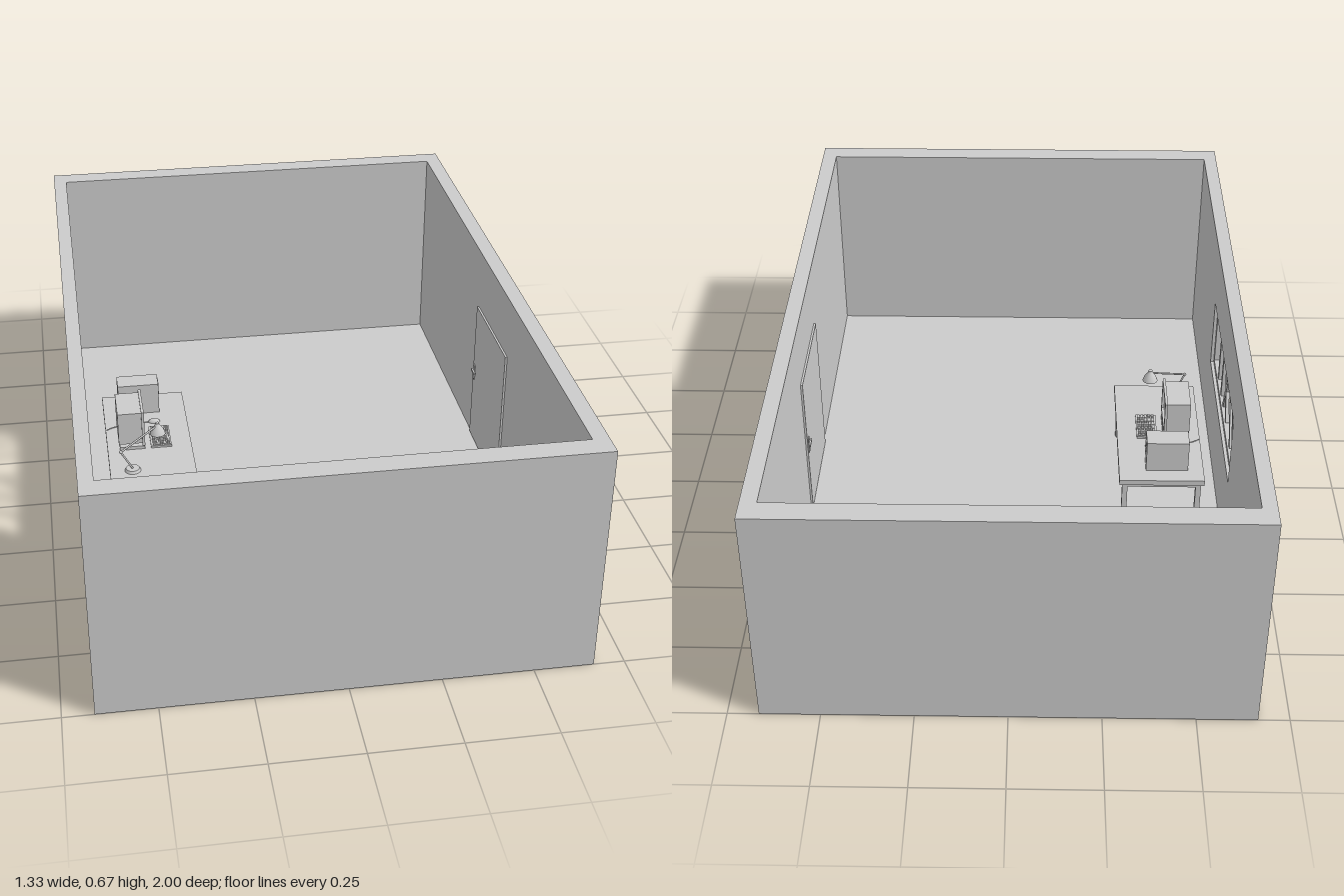
import * as THREE from 'three';

const mat = new THREE.MeshStandardMaterial({ color: 0xcccccc, side: THREE.DoubleSide });

function add(parent, name, geometry, x = 0, y = 0, z = 0) {
  const mesh = new THREE.Mesh(geometry, mat);
  mesh.name = name;
  mesh.position.set(x, y, z);
  parent.add(mesh);
  return mesh;
}

// Box given by its limits on each axis
function box(parent, name, x0, x1, y0, y1, z0, z1) {
  return add(parent, name, new THREE.BoxGeometry(x1 - x0, y1 - y0, z1 - z0),
    (x0 + x1) / 2, (y0 + y1) / 2, (z0 + z1) / 2);
}

function group(parent, name) {
  const g = new THREE.Group();
  g.name = name;
  parent.add(g);
  return g;
}

// Upright panel along z with one rectangular opening; outer face at x1
function panelWithOpening(parent, name, x0, x1, outer, hole) {
  const rect = (T, [z0, z1, y0, y1]) => {
    const s = new T();
    s.moveTo(z0, y0).lineTo(z1, y0).lineTo(z1, y1).lineTo(z0, y1).closePath();
    return s;
  };
  const shape = rect(THREE.Shape, outer);
  shape.holes.push(rect(THREE.Path, hole));
  const geo = new THREE.ExtrudeGeometry(shape, { depth: x1 - x0, bevelEnabled: false });
  geo.rotateY(-Math.PI / 2);
  return add(parent, name, geo, x1, 0, 0);
}

// Round rod through a few points
function rod(parent, name, points, radius) {
  const path = new THREE.CurvePath();
  const v = points.map(p => new THREE.Vector3(...p));
  for (let i = 1; i < v.length; i++) path.add(new THREE.LineCurve3(v[i - 1], v[i]));
  return add(parent, name, new THREE.TubeGeometry(path, 16, radius, 8), 0, 0, 0);
}

function buildRoom(root) {
  const room = group(root, 'room');
  box(room, 'floor', -0.625, 0.62, 0, 0.033, -0.935, 0.935);
  box(room, 'frontWall', -0.625, 0.62, 0, 0.67, 0.935, 1);
  box(room, 'backWall', -0.625, 0.62, 0, 0.67, -1, -0.935);
  panelWithOpening(room, 'doorWall', 0.62, 0.665, [-1, 1, 0, 0.67], [-0.168, 0.168, 0.037, 0.49]);
  panelWithOpening(room, 'windowWall', -0.665, -0.625, [-1, 1, 0, 0.67], [-0.315, 0.315, 0.265, 0.485]);

  // Door slab set back from the outside, standing proud inside
  const door = group(room, 'door');
  box(door, 'doorSlab', 0.614, 0.643, 0.037, 0.49, -0.168, 0.168);
  box(door, 'handlePlate', 0.611, 0.614, 0.24, 0.29, -0.16, -0.145);
  box(door, 'handleLever', 0.606, 0.611, 0.265, 0.272, -0.165, -0.13);

  // Window frame with upright and slanted bars
  const win = group(room, 'window');
  panelWithOpening(win, 'windowFrame', -0.655, -0.635,
    [-0.315, 0.315, 0.265, 0.485], [-0.3, 0.3, 0.28, 0.47]);
  for (const z of [0.2, 0.11, -0.28]) box(win, 'uprightBar', -0.651, -0.639, 0.28, 0.47, z - 0.01, z + 0.01);
  for (const [zBottom, zTop] of [[-0.25, -0.14], [-0.17, -0.06], [-0.04, 0.07], [0.05, -0.04]]) {
    const dz = zTop - zBottom;
    const bar = add(win, 'slantedBar', new THREE.BoxGeometry(0.01, Math.hypot(dz, 0.19), 0.018),
      -0.645, 0.375, (zBottom + zTop) / 2);
    bar.rotation.x = Math.atan2(dz, 0.19);
  }
}

function buildDesk(root) {
  const desk = group(root, 'desk');
  box(desk, 'deskTop', -0.567, -0.315, 0.2, 0.217, -0.25, 0.243);
  // Looped leg frame at each end
  for (const z of [-0.232, 0.225]) {
    for (const x of [-0.55, -0.332]) box(desk, 'leg', x - 0.008, x + 0.008, 0.033, 0.2, z - 0.008, z + 0.008);
    for (const y of [0.033, 0.186]) box(desk, 'legRail', -0.542, -0.34, y, y + 0.014, z - 0.008, z + 0.008);
  }
  box(desk, 'backRail', -0.556, -0.544, 0.182, 0.2, -0.224, 0.217);
}

function buildComputer(root) {
  const top = 0.217;
  const tower = group(root, 'computerCase');
  box(tower, 'caseBody', -0.52, -0.395, top, 0.316, -0.2, -0.135);
  for (const y of [0.29, 0.302]) box(tower, 'driveSlot', -0.395, -0.393, y, y + 0.006, -0.192, -0.152);
  box(tower, 'powerButton', -0.395, -0.392, 0.265, 0.272, -0.172, -0.164);

  // Boxy monitor with a rim round the screen
  const monitor = group(root, 'monitor');
  box(monitor, 'monitorFoot', -0.53, -0.455, top, 0.227, -0.035, 0.075);
  box(monitor, 'monitorNeck', -0.505, -0.48, 0.227, 0.242, 0, 0.04);
  box(monitor, 'monitorBody', -0.533, -0.463, 0.242, 0.345, -0.043, 0.083);
  panelWithOpening(monitor, 'screenRim', -0.463, -0.455, [-0.05, 0.09, 0.237, 0.35], [-0.038, 0.078, 0.249, 0.338]);

  // Keyboard with rows of keys along z
  const keyboard = group(root, 'keyboard');
  box(keyboard, 'keyboardBase', -0.437, -0.375, top, 0.223, -0.04, 0.075);
  for (let row = 0; row < 5; row++) {
    for (let col = 0; col < 12; col++) {
      const x = -0.431 + row * 0.0108, z = -0.036 + col * 0.0091;
      box(keyboard, 'key', x, x + 0.0085, 0.223, 0.227, z, z + 0.007);
    }
  }

  // Mouse and its cable
  const mouse = group(root, 'mouse');
  const body = add(mouse, 'mouseBody',
    new THREE.SphereGeometry(1, 16, 8, 0, Math.PI * 2, 0, Math.PI / 2), -0.416, top, -0.078);
  body.scale.set(0.018, 0.011, 0.011);
  const cable = new THREE.CatmullRomCurve3([
    [-0.434, -0.076], [-0.47, -0.073], [-0.51, -0.067], [-0.545, -0.057], [-0.563, -0.045],
  ].map(([x, z]) => new THREE.Vector3(x, top + 0.002, z)));
  add(mouse, 'mouseCable', new THREE.TubeGeometry(cable, 24, 0.0015, 6));
}

function buildLamp(root) {
  const lamp = group(root, 'deskLamp');
  add(lamp, 'lampBase', new THREE.CylinderGeometry(0.02, 0.024, 0.008, 24), -0.5, 0.221, 0.19);
  rod(lamp, 'lowerArm', [[-0.5, 0.223, 0.19], [-0.533, 0.29, 0.203]], 0.003);
  rod(lamp, 'upperArm', [[-0.533, 0.29, 0.203], [-0.42, 0.335, 0.143]], 0.003);
  add(lamp, 'elbow', new THREE.SphereGeometry(0.005, 12, 8), -0.533, 0.29, 0.203);
  const shade = [[0.006, 0.018], [0.009, 0.012], [0.018, 0], [0.023, -0.014]].map(p => new THREE.Vector2(...p));
  add(lamp, 'lampShade', new THREE.LatheGeometry(shade, 24), -0.42, 0.322, 0.143);
  add(lamp, 'shadeCap', new THREE.CylinderGeometry(0.006, 0.006, 0.006, 16), -0.42, 0.341, 0.143);
  add(lamp, 'bulb', new THREE.SphereGeometry(0.009, 16, 10), -0.42, 0.316, 0.143);
}

export function createModel() {
  const root = new THREE.Group();
  root.name = 'officeRoom';
  buildRoom(root);
  buildDesk(root);
  buildComputer(root);
  buildLamp(root);
  return root;
}
